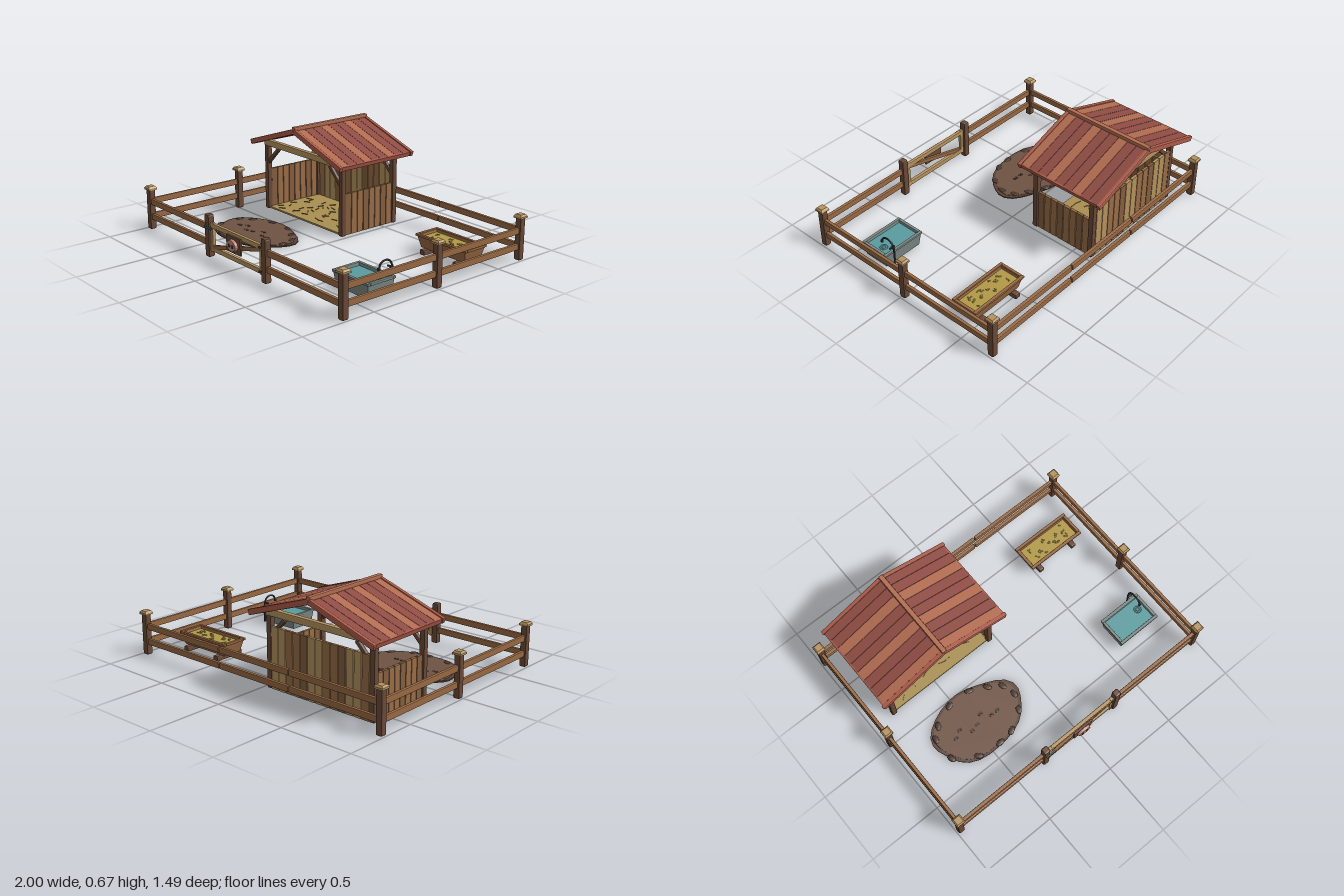
import * as THREE from 'three';
import { RoundedBoxGeometry } from 'three/addons/geometries/RoundedBoxGeometry.js';
import { mergeGeometries } from 'three/addons/utils/BufferGeometryUtils.js';

const C = {
  post: 0x6b4a38, rail: 0x9a6a43, light: 0xb7935f, plankA: 0x9a6e48, plankB: 0x866040, roofDark: 0x8f4c43,
  roofLight: 0xb26c50, trim: 0xae5c49, under: 0x5a2e2a, straw: 0xa98f52, strawDark: 0x8a7340, mud: 0x6f5342,
  mudRim: 0x5c4336, stone: 0x49362d, metal: 0x7d8a86, dark: 0x3b4345, water: 0x5a9ca0, feed: 0xb29a48,
  pink: 0xc48a7c, latch: 0x3f6266,
};
const mats = {};
const mat = (c) => (mats[c] ??= new THREE.MeshStandardMaterial({ color: c, flatShading: true }));

let seed = 7;
const rnd = () => (seed = (seed * 16807) % 2147483647) / 2147483647;

function add(parent, name, geo, color, x = 0, y = 0, z = 0) {
  const m = new THREE.Mesh(geo, mat(color));
  m.name = name;
  m.position.set(x, y, z);
  parent.add(m);
  return m;
}
const box = (p, name, c, w, h, d, x, y, z) => add(p, name, new THREE.BoxGeometry(w, h, d), c, x, y, z);
const beam = (p, name, c, w, h, d, x, y, z) =>
  add(p, name, new RoundedBoxGeometry(w, h, d, 1, Math.min(w, h, d) * 0.22), c, x, y, z);
function group(parent, name, x = 0, y = 0, z = 0) {
  const g = new THREE.Group();
  g.name = name;
  g.position.set(x, y, z);
  parent.add(g);
  return g;
}

// Beam in the xy plane from one point to another
function strut(p, name, c, x1, y1, x2, y2, z, h, d) {
  const m = beam(p, name, c, Math.hypot(x2 - x1, y2 - y1), h, d, (x1 + x2) / 2, (y1 + y2) / 2, z);
  m.rotation.z = Math.atan2(y2 - y1, x2 - x1);
  return m;
}

// Open box standing on y = 0 whose walls lean in toward the bottom
function tub(w, h, d, t, inset) {
  const part = (a, b, c, x, y, z) => new THREE.BoxGeometry(a, b, c).translate(x, y, z);
  const geo = mergeGeometries([
    part(w, h, t, 0, h / 2, (d - t) / 2), part(w, h, t, 0, h / 2, (t - d) / 2),
    part(t, h, d - 2 * t, (w - t) / 2, h / 2, 0), part(t, h, d - 2 * t, (t - w) / 2, h / 2, 0),
    part(w - 2 * t, t, d - 2 * t, 0, t / 2, 0),
  ]);
  const p = geo.attributes.position;
  for (let i = 0; i < p.count; i++) {
    const k = 1 - p.getY(i) / h;
    p.setX(i, p.getX(i) * (1 - (2 * inset * k) / w));
    p.setZ(i, p.getZ(i) * (1 - (2 * inset * k) / d));
  }
  geo.computeVertexNormals();
  return geo;
}

// Rectangular frame lying flat
function frame(p, name, c, w, d, t, h, y) {
  for (const s of [-1, 1]) {
    beam(p, name, c, w, h, t, 0, y, s * (d - t) / 2);
    beam(p, name, c, t, h, d - 2 * t, s * (w - t) / 2, y, 0);
  }
}

const BACK = -0.718, MID = -0.011, FRONT = 0.696, SIDE = 0.97;
const RAILS = [0.088, 0.19];

function buildFence(root) {
  const g = group(root, 'fence');
  for (const x of [-SIDE, SIDE]) for (const z of [BACK, MID, FRONT]) {
    beam(g, 'fencePost', C.post, 0.045, 0.275, 0.045, x, 0.1375, z);
    box(g, 'postCap', C.light, 0.06, 0.012, 0.06, x, 0.276, z);
    const top = new THREE.CylinderGeometry(0.03, 0.0424, 0.012, 4).rotateY(Math.PI / 4);
    add(g, 'postCapTop', top, C.light, x, 0.288, z);
  }
  for (const y of RAILS) {
    for (const x of [-SIDE, SIDE]) for (const [a, b] of [[BACK, MID], [MID, FRONT]])
      beam(g, 'sideRail', C.rail, 0.022, 0.04, b - a, x, y, (a + b) / 2);
    for (const [a, b] of [[-SIDE, -0.296], [-0.29, 0.284], [0.29, SIDE]])
      beam(g, 'backRail', C.rail, b - a, 0.04, 0.022, (a + b) / 2, y, BACK);
    for (const s of [-1, 1]) beam(g, 'frontRail', C.rail, SIDE - 0.288, 0.04, 0.022, s * (SIDE + 0.288) / 2, y, FRONT);
  }
}

function buildGate(root) {
  const g = group(root, 'gate', 0, 0, FRONT);
  for (const s of [-1, 1]) {
    beam(g, 'gatePost', C.post, 0.046, 0.275, 0.046, s * 0.288, 0.1375, 0);
    beam(g, 'gateStile', C.light, 0.024, 0.19, 0.024, s * 0.25, 0.135, 0);
  }
  for (const y of [0.06, 0.21]) beam(g, 'gateRail', C.light, 0.53, 0.032, 0.024, 0, y, 0);
  strut(g, 'gateBrace', C.rail, -0.245, 0.07, 0.245, 0.195, 0.004, 0.026, 0.02);
  // Latch and hinges
  box(g, 'latchBar', C.latch, 0.07, 0.014, 0.01, -0.265, 0.197, 0.028);
  for (const y of [0.06, 0.21]) box(g, 'hinge', C.dark, 0.05, 0.012, 0.006, 0.262, y, 0.015);
  // Snout sign
  beam(g, 'signBoard', C.post, 0.145, 0.105, 0.014, 0, 0.157, 0.021);
  const snout = new THREE.CylinderGeometry(0.044, 0.05, 0.018, 16).rotateX(Math.PI / 2);
  add(g, 'signSnout', snout, C.pink, 0, 0.155, 0.036).scale.y = 0.78;
  for (const s of [-1, 1]) {
    const nostril = new THREE.CylinderGeometry(0.009, 0.009, 0.006, 8).rotateX(Math.PI / 2);
    add(g, 'signNostril', nostril, C.stone, s * 0.017, 0.155, 0.046).scale.y = 1.4;
  }
}

function buildShelter(root) {
  const g = group(root, 'shelter', -0.437, 0, 0);
  const zf = -0.167, zb = -0.61, px = 0.393;
  for (const s of [-1, 1]) for (const z of [zf, zb])
    beam(g, 'shelterPost', C.post, 0.038, 0.46, 0.038, s * px, 0.23, z);
  for (const z of [zf, zb]) {
    beam(g, 'crossBeam', C.light, 0.84, 0.045, 0.036, 0, 0.473, z);
    for (const s of [-1, 1]) strut(g, 'kneeBrace', C.post, s * 0.385, 0.335, s * 0.27, 0.45, z, 0.026, 0.024);
  }
  // Plank walls
  const tones = [C.plankA, C.plankB, C.light, C.plankA, C.light];
  const n = 13, w = 0.75 / n;
  for (let i = 0; i < n; i++)
    box(g, 'backPlank', tones[(i * 2) % 5], w - 0.005, 0.39, 0.018, -0.375 + (i + 0.5) * w, 0.197, zb - 0.008);
  const m = 8, d = 0.405 / m;
  for (const s of [-1, 1]) for (let i = 0; i < m; i++)
    box(g, 'sidePlank', i % 3 ? C.plankA : C.plankB, 0.018, 0.28, d - 0.005, s * px, 0.143, zf - 0.02 - (i + 0.5) * d);
  // Straw bedding
  box(g, 'strawBed', C.straw, 0.76, 0.012, 0.44, 0, 0.007, -0.385);
  for (let i = 0; i < 45; i++) {
    const s = box(g, 'strawStalk', C.strawDark, 0.045, 0.004, 0.005, (rnd() - 0.5) * 0.68, 0.015, -0.385 + (rnd() - 0.5) * 0.37);
    s.rotation.y = rnd() * Math.PI;
  }
  // Gable roof: each slope hangs from the ridge and tilts down
  for (const s of [-1, 1]) {
    const r = group(g, 'roofSlope', 0, 0.638, -0.395);
    r.rotation.z = -s * 0.325;
    const len = 0.49, cx = s * len / 2;
    box(r, 'roofUnderside', C.under, len - 0.01, 0.01, 0.6, cx, -0.014, 0);
    for (let i = 0; i < 9; i++)
      box(r, 'roofBoard', i % 3 === 2 ? C.roofLight : C.roofDark, len, 0.018, 0.0645, cx, 0, -0.3 + (i + 0.5) * 0.0667);
    for (const e of [-1, 1]) beam(r, 'bargeBoard', C.trim, len + 0.01, 0.036, 0.026, cx + s * 0.005, -0.002, e * 0.307);
    box(r, 'eaveTrim', C.trim, 0.012, 0.03, 0.6, s * (len - 0.004), -0.006, 0);
  }
  beam(g, 'ridgeCap', C.roofLight, 0.032, 0.028, 0.635, 0, 0.652, -0.395);
}

function buildMud(root) {
  const g = group(root, 'mudWallow', -0.45, 0, 0.222);
  const blob = (k) => {
    const pts = [];
    for (let i = 0; i < 28; i++) {
      const a = (i / 28) * Math.PI * 2, r = k * (1 + 0.035 * Math.sin(3 * a + 1) + 0.025 * Math.sin(5 * a));
      pts.push(new THREE.Vector2(Math.cos(a) * 0.33 * r, Math.sin(a) * 0.222 * r));
    }
    return new THREE.Shape(pts);
  };
  const slab = (k, h) => new THREE.ExtrudeGeometry(blob(k), { depth: h, bevelEnabled: false }).rotateX(-Math.PI / 2);
  add(g, 'mudRim', slab(1, 0.008), C.mudRim);
  add(g, 'mudSurface', slab(0.93, 0.003), C.mud, 0, 0.0075, 0);
  // Stones along the rim
  const stones = [[0.08, -0.19], [-0.08, -0.19], [0.19, -0.135], [0.27, -0.08], [0.295, 0.01], [0.25, 0.11], [0.125, 0.19],
    [0.02, 0.205], [-0.14, 0.185], [-0.285, 0.09], [-0.285, -0.07], [-0.22, -0.13]];
  for (const [x, z] of stones) {
    const s = add(g, 'rimStone', new THREE.SphereGeometry(0.032, 10, 6), C.stone, x, 0.009, z);
    s.scale.set(1, 0.22, 0.6);
    s.rotation.y = -Math.atan2(z, x) + Math.PI / 2;
  }
  // Hoof prints
  for (const [x, z] of [[-0.18, 0.005], [-0.13, -0.025], [-0.07, 0.03], [-0.02, 0.02], [0.04, -0.025], [0.09, 0.025], [0.14, 0.025]])
    for (const s of [-1, 1]) {
      const h = add(g, 'hoofPrint', new THREE.CylinderGeometry(0.009, 0.009, 0.003, 8), C.stone, x + s * 0.009, 0.0115, z);
      h.scale.z = 1.3;
      h.rotation.y = s * 0.4;
    }
}

function buildFeeder(root) {
  const g = group(root, 'feedTrough', 0.68, 0, -0.42);
  for (const s of [-1, 1]) beam(g, 'feederFoot', C.post, 0.04, 0.035, 0.215, s * 0.14, 0.0175, 0);
  add(g, 'feederBody', tub(0.41, 0.085, 0.175, 0.016, 0.02), C.rail, 0, 0.033, 0);
  frame(g, 'feederRim', C.rail, 0.424, 0.188, 0.02, 0.016, 0.115);
  box(g, 'feed', C.feed, 0.375, 0.05, 0.135, 0, 0.077, 0);
  for (let i = 0; i < 26; i++) {
    const k = add(g, 'feedKernel', new THREE.SphereGeometry(0.009, 6, 4), C.feed, (rnd() - 0.5) * 0.3, 0.103, (rnd() - 0.5) * 0.1);
    k.scale.set(1.2, 0.6, 0.7);
    k.rotation.y = rnd() * 3;
  }
}

function buildWater(root) {
  const g = group(root, 'waterTrough', 0.733, 0, 0.34);
  add(g, 'basin', tub(0.3, 0.095, 0.2, 0.014, 0.012), C.metal, 0, 0.008, 0);
  frame(g, 'basinRim', C.metal, 0.312, 0.212, 0.02, 0.016, 0.103);
  box(g, 'water', C.water, 0.27, 0.01, 0.17, 0, 0.086, 0);
  // Arched tap with a cross handle
  const pts = [[0.02, -0.125], [0.14, -0.125], [0.18, -0.112], [0.197, -0.075], [0.185, -0.037], [0.153, -0.022]];
  const path = new THREE.CatmullRomCurve3(pts.map(([y, z]) => new THREE.Vector3(0.102, y, z)));
  add(g, 'tapPipe', new THREE.TubeGeometry(path, 28, 0.006, 8), C.dark);
  add(g, 'tapSpout', new THREE.CylinderGeometry(0.009, 0.009, 0.016, 8), C.dark, 0.102, 0.154, -0.022);
  box(g, 'tapHandle', C.dark, 0.042, 0.009, 0.009, 0.102, 0.15, -0.108);
  box(g, 'tapStem', C.dark, 0.009, 0.009, 0.03, 0.102, 0.15, -0.115);
  for (const r of [0.012, 0.024])
    add(g, 'ripple', new THREE.TorusGeometry(r, 0.0015, 4, 20).rotateX(Math.PI / 2), C.metal, 0.09, 0.092, -0.018);
}

export function createModel() {
  const root = new THREE.Group();
  root.name = 'animalPen';
  for (const build of [buildFence, buildGate, buildShelter, buildMud, buildFeeder, buildWater]) build(root);
  return root;
}
